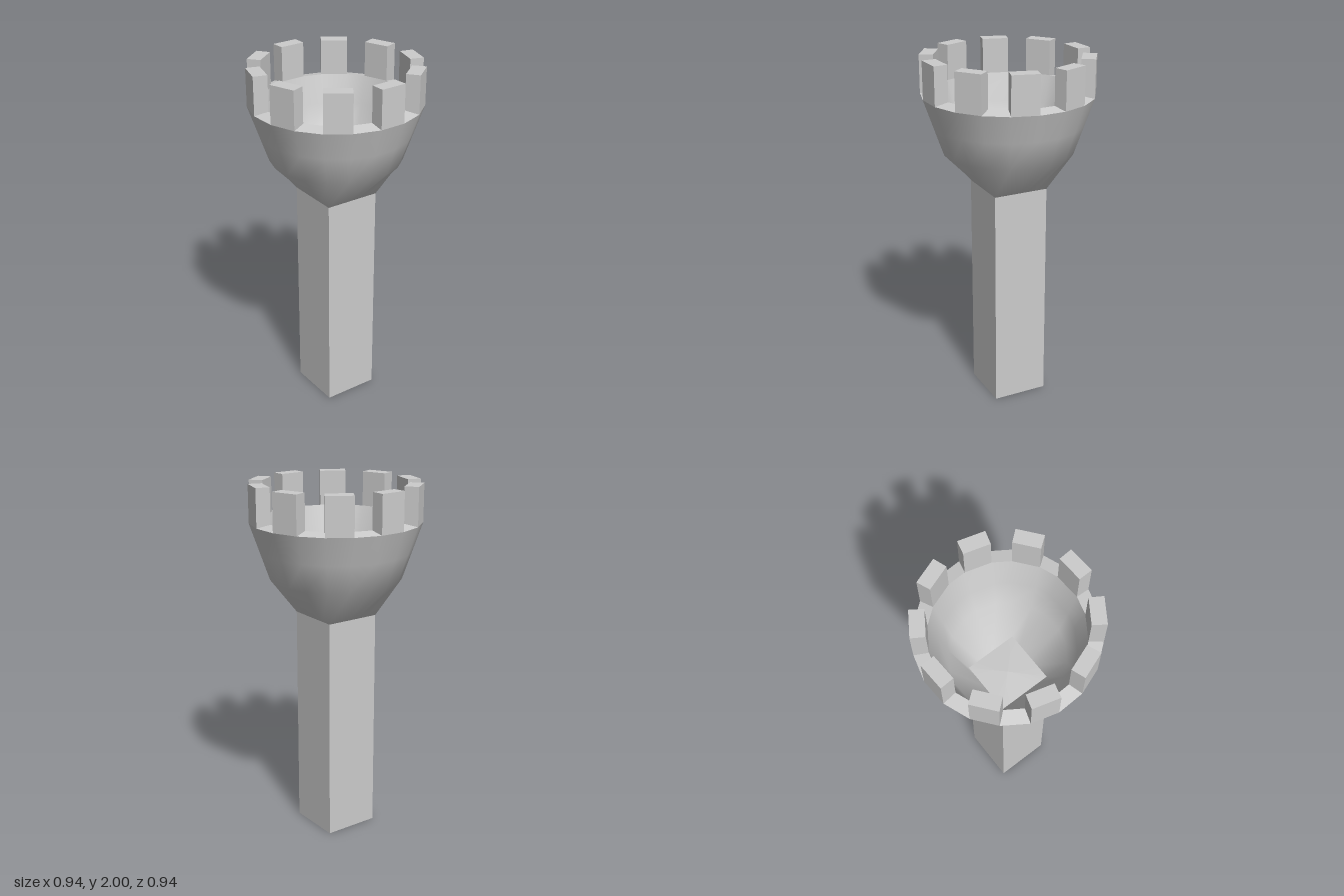
import * as THREE from 'three';

const N = 20;
const deg = Math.PI / 180;
const angle = (k) => (-6.65 + 18 * k) * deg;

// Ring of N points; skew widens every second segment
function roundRing(r, y, skew = 0) {
  return Array.from({ length: N }, (_, k) => {
    const a = angle(k) + (k % 2 ? skew : -skew) * deg;
    return new THREE.Vector3(r * Math.sin(a), y, r * Math.cos(a));
  });
}

// Ring of N points on a square, every fifth point sitting on a corner
function squareRing(half, y) {
  return Array.from({ length: N }, (_, k) => {
    const a = k % 5 === 3 ? (45 + 90 * Math.floor(k / 5)) * deg : angle(k);
    const s = Math.sin(a), c = Math.cos(a);
    const f = half / Math.max(Math.abs(s), Math.abs(c));
    return new THREE.Vector3(f * s, y, f * c);
  });
}

function blend(a, b, t) {
  return a.map((p, i) => p.clone().lerp(b[i], t));
}

// Skin a stack of rings with smooth normals
function loft(rings) {
  const points = rings.flat();
  const index = [];
  for (let r = 0; r < rings.length - 1; r++) {
    for (let k = 0; k < N; k++) {
      const a = r * N + k, b = r * N + (k + 1) % N;
      index.push(a, b, b + N, a, b + N, a + N);
    }
  }
  const g = new THREE.BufferGeometry().setFromPoints(points);
  g.setIndex(index);
  g.computeVertexNormals();
  return g;
}

export function createModel() {
  const group = new THREE.Group();
  const smooth = new THREE.MeshStandardMaterial({ color: 0xcccccc });
  const flat = new THREE.MeshStandardMaterial({ color: 0xcccccc, flatShading: true });
  const add = (name, geometry, material) => {
    const mesh = new THREE.Mesh(geometry, material);
    mesh.name = name;
    group.add(mesh);
    return mesh;
  };

  // Square post
  add('post', new THREE.BoxGeometry(0.314, 1.265, 0.314), flat).position.y = 0.6325;

  // Bowl: square at the bottom, round at the rim
  const outerRim = roundRing(0.473, 1.79);
  const innerRim = roundRing(0.397, 1.805, 1.5);
  const foot = squareRing(0.157, 1.265);
  const waist = roundRing(0.365, 1.475);
  add('bowlOuter', loft([foot, waist, blend(waist, outerRim, 0.5), outerRim]), smooth);

  const floorEdge = squareRing(0.15, 1.275);
  const innerWaist = roundRing(0.31, 1.5, 1.5);
  add('bowlInner', loft([innerRim, blend(innerRim, innerWaist, 0.5), innerWaist, floorEdge]), smooth);
  add('bowlFloor', loft([floorEdge, squareRing(0.0001, 1.285)]), smooth);
  add('rim', loft([outerRim, innerRim]), flat);

  // Battlements on every second segment of the rim
  for (let k = 0; k < N; k += 2) {
    const corners = [outerRim[k], outerRim[k + 1], innerRim[k + 1], innerRim[k]];
    const shape = new THREE.Shape(corners.map((p) => new THREE.Vector2(p.x, -p.z)));
    const g = new THREE.ExtrudeGeometry(shape, { depth: 0.21, bevelEnabled: false });
    g.rotateX(-Math.PI / 2);
    add('battlement', g, flat).position.y = 1.79;
  }
  return group;
}
